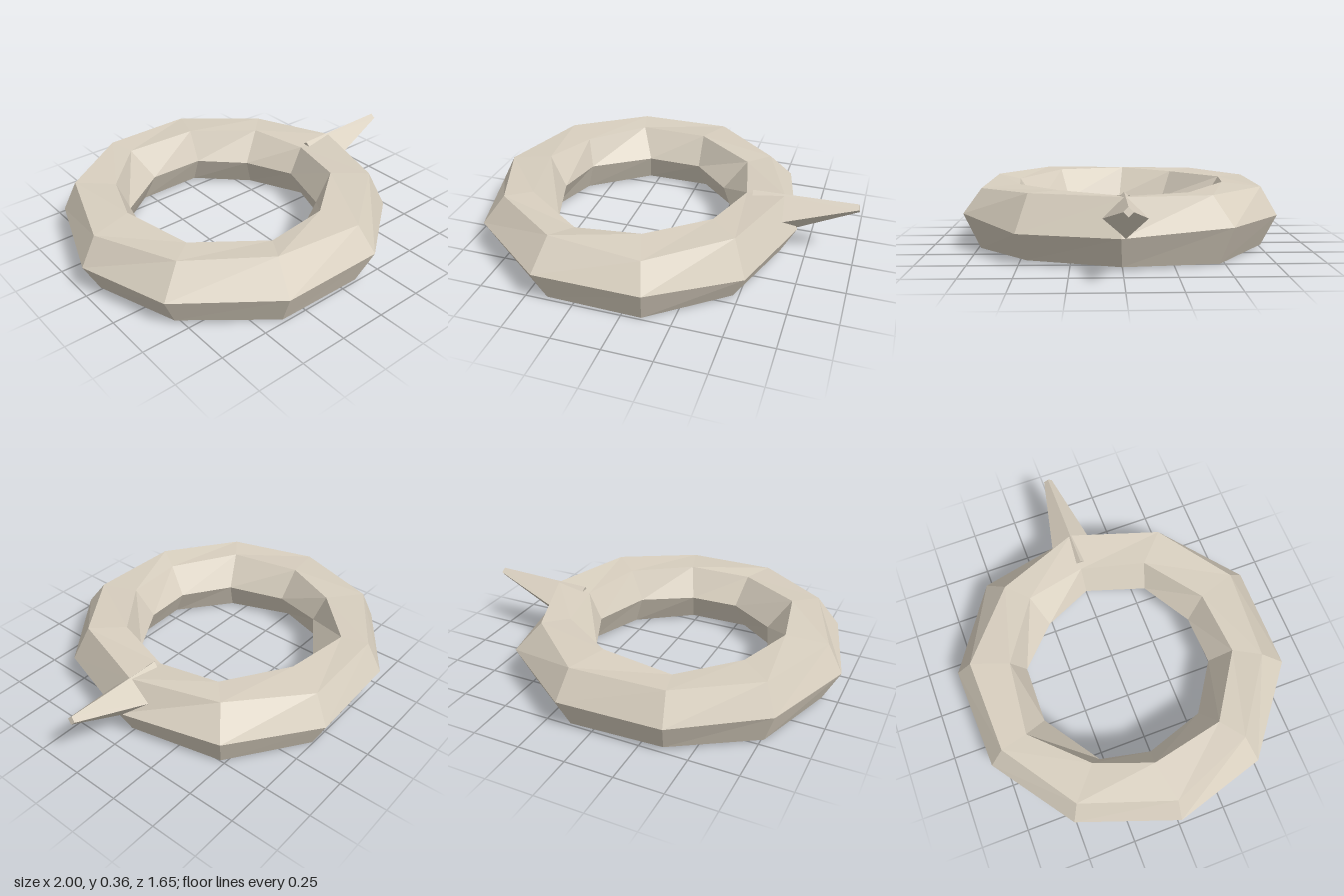
import * as THREE from 'three';

// Rough-cut ring: four visible edge loops as [x, z] around the ring, starting at -x
const OUTER = [[-1, 0], [-0.82, -0.51], [-0.4, -0.81], [0.14, -0.83], [0.57, -0.53],
  [0.7, 0.01], [0.54, 0.51], [0.13, 0.82], [-0.42, 0.82], [-0.86, 0.48]];
const TOP_OUTER = [[-0.92, 0], [-0.76, -0.47], [-0.38, -0.73], [0.11, -0.745], [0.46, -0.44],
  [0.62, -0.01], [0.47, 0.45], [0.1, 0.725], [-0.38, 0.69], [-0.75, 0.43]];
const TOP_INNER = [[-0.71, -0.04], [-0.6, -0.33], [-0.345, -0.59], [0.035, -0.55], [0.35, -0.335],
  [0.42, -0.02], [0.325, 0.31], [0.035, 0.53], [-0.3, 0.56], [-0.63, 0.34]];
const INNER = [[-0.62, -0.02], [-0.565, -0.28], [-0.27, -0.48], [0.03, -0.475], [0.235, -0.275],
  [0.35, -0.02], [0.25, 0.29], [-0.01, 0.445], [-0.27, 0.455], [-0.52, 0.29]];
const OUTER_Y = [0.175, 0.18, 0.18, 0.18, 0.195, 0.17, 0.165, 0.195, 0.195, 0.19];
const TOP_Y = [0.325, 0.335, 0.335, 0.33, 0.335, 0.35, 0.35, 0.325, 0.345, 0.345];

function ringGeometry() {
  const n = OUTER.length;
  const between = (t) => OUTER.map(([x, z], i) => [
    THREE.MathUtils.lerp(x, INNER[i][0], t), THREE.MathUtils.lerp(z, INNER[i][1], t)]);
  // Six loops around the hexagonal section, each with its height rule
  const loops = [
    [OUTER, (i) => OUTER_Y[i]],
    [TOP_OUTER, (i) => TOP_Y[i]],
    [TOP_INNER, (i) => 0.335 + 0.01 * Math.cos(i * 2)],
    [INNER, () => 0.18],
    [between(0.77), (i) => 0.015 + 0.01 * Math.cos(i * 2.5)],
    [between(0.22), (i) => 0.015 + 0.012 * Math.cos(i * 1.9 + 2)],
  ];
  const positions = [];
  const index = [];
  for (const [points, y] of loops) points.forEach(([x, z], i) => positions.push(x, Math.max(0, y(i)), z));
  for (let j = 0; j < loops.length; j++) {
    const k = (j + 1) % loops.length;
    for (let i = 0; i < n; i++) {
      const m = (i + 1) % n;
      const a = j * n + i, b = k * n + i, c = k * n + m, d = j * n + m;
      index.push(a, b, d, b, c, d);
    }
  }
  const indexed = new THREE.BufferGeometry();
  indexed.setAttribute('position', new THREE.Float32BufferAttribute(positions, 3));
  indexed.setIndex(index);
  const geometry = indexed.toNonIndexed();
  geometry.computeVertexNormals();
  return geometry;
}

export function createModel() {
  const group = new THREE.Group();
  const material = new THREE.MeshStandardMaterial({ color: 0xd8cfbf, flatShading: true });

  const ring = new THREE.Mesh(ringGeometry(), material);
  ring.name = 'ring';
  group.add(ring);

  // Four-sided blunt spike, sunk into the ring and tilted upwards
  const base = new THREE.Vector3(0.485, 0.217, -0.01);
  const tip = new THREE.Vector3(0.995, 0.344, -0.012);
  const spike = new THREE.Mesh(new THREE.CylinderGeometry(0.022, 0.14, base.distanceTo(tip), 4), material);
  spike.name = 'spike';
  spike.position.copy(base).lerp(tip, 0.5);
  spike.rotation.z = Math.atan2(tip.y - base.y, tip.x - base.x) - Math.PI / 2;
  group.add(spike);

  return group;
}
